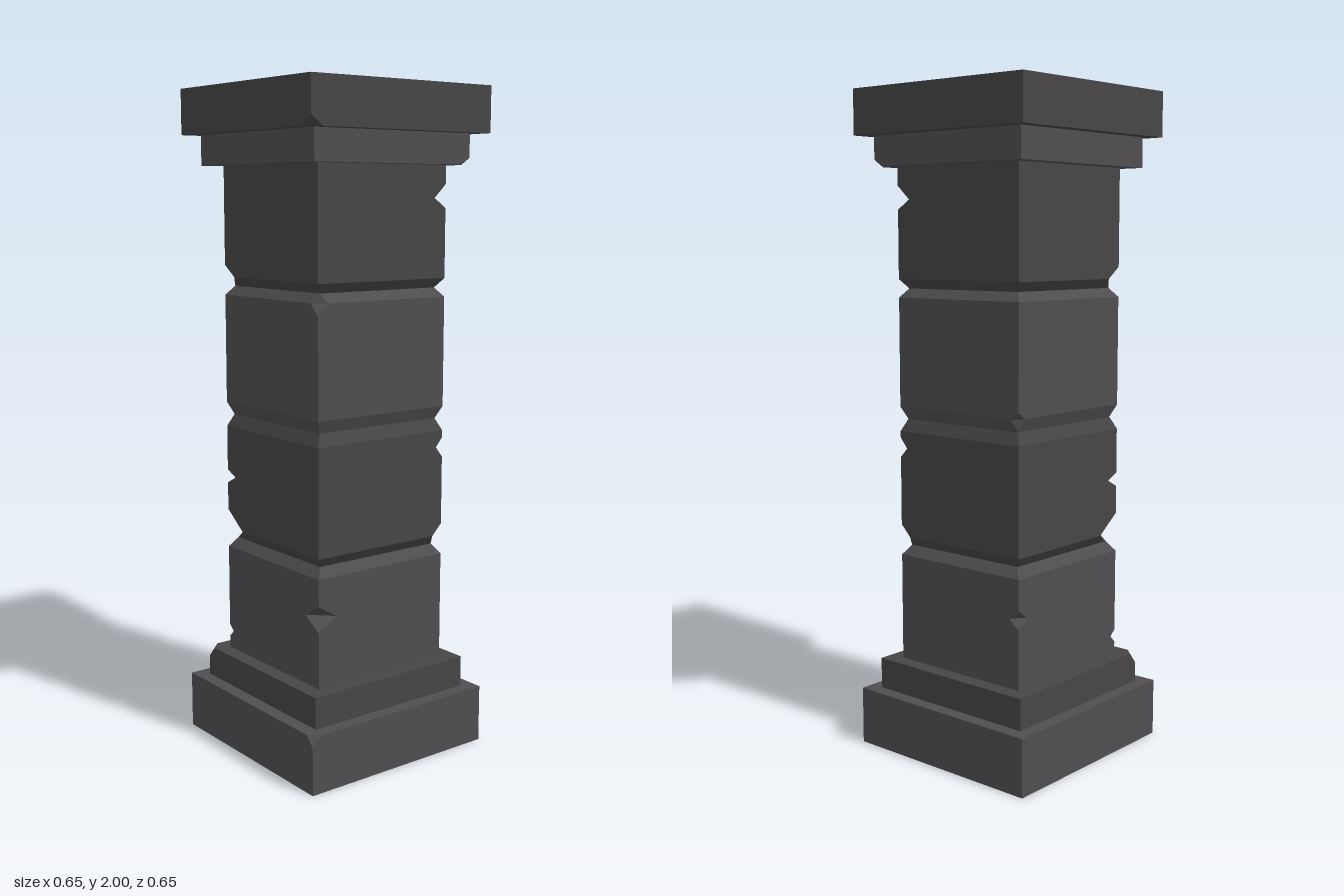
import * as THREE from 'three';

const dark = new THREE.MeshStandardMaterial({ color: 0x474545, flatShading: true });
const light = new THREE.MeshStandardMaterial({ color: 0x4f4d50, flatShading: true });

// Square stone with an outline [[y, halfWidth], ...] from bottom to top.
// chips: [corner, y, depth, heightAbove, heightBelow];
// corners run 0 (+x+z), 1 (+x-z), 2 (-x-z), 3 (-x+z).
function stone(name, material, outline, chips = []) {
  const bottom = outline[0][0], top = outline[outline.length - 1][0];
  const levels = outline.map(p => p[0]);
  chips.forEach(([, y, , up, down]) => levels.push(y - down, y, y + up));
  const ys = [...new Set(levels.map(y => +y.toFixed(4)))]
    .filter(y => y >= bottom && y <= top).sort((a, b) => a - b);

  const widthAt = y => {
    for (let i = 1; i < outline.length; i++) {
      const [y0, w0] = outline[i - 1], [y1, w1] = outline[i];
      if (y <= y1) return THREE.MathUtils.mapLinear(y, y0, y1, w0, w1);
    }
    return outline[outline.length - 1][1];
  };
  const cutAt = (corner, y) => {
    let cut = 0;
    for (const [k, cy, depth, up, down] of chips) {
      if (k !== corner) continue;
      const reach = y >= cy ? up : down;
      cut = Math.max(cut, depth * (1 - Math.abs(y - cy) / reach));
    }
    return cut < 1e-3 ? 0 : cut;
  };

  // Each ring has two points per corner, which meet where there is no chip
  const rings = ys.map(y => {
    const w = widthAt(y), ring = [];
    for (let k = 0; k < 4; k++) {
      const c = cutAt(k, y);
      for (let [x, z] of [[w - c, w], [w, w - c]]) {
        for (let r = 0; r < k; r++) [x, z] = [z, -x];
        ring.push(new THREE.Vector3(x, y, z));
      }
    }
    return ring;
  });

  const positions = [];
  const tri = (a, b, c) => {
    if (new THREE.Triangle(a, b, c).getArea() < 1e-8) return;
    positions.push(...a.toArray(), ...b.toArray(), ...c.toArray());
  };
  for (let i = 1; i < rings.length; i++) {
    const lo = rings[i - 1], hi = rings[i];
    for (let j = 0; j < 8; j++) {
      const n = (j + 1) % 8;
      tri(lo[j], lo[n], hi[n]);
      tri(lo[j], hi[n], hi[j]);
    }
  }
  const first = rings[0], last = rings[rings.length - 1];
  for (let j = 1; j < 7; j++) {
    tri(first[0], first[j + 1], first[j]);
    tri(last[0], last[j], last[j + 1]);
  }

  const geometry = new THREE.BufferGeometry();
  geometry.setAttribute('position', new THREE.Float32BufferAttribute(positions, 3));
  geometry.computeVertexNormals();
  const mesh = new THREE.Mesh(geometry, material);
  mesh.name = name;
  return mesh;
}

export function createModel() {
  const pillar = new THREE.Group();
  pillar.name = 'stonePillar';
  const W = 0.235, G = 0.213; // shaft and groove half widths

  pillar.add(
    // Base
    stone('basePlinth', light, [[0, 0.325], [0.175, 0.325]],
      [[0, 0.175, 0.03, 0.03, 0.03]]),
    stone('baseStep', dark, [[0.175, 0.283], [0.27, 0.283]],
      [[3, 0.27, 0.03, 0.03, 0.035]]),
    // Shaft blocks, bevelled where they meet
    stone('shaftBlock1', light, [[0.27, W], [0.6, W], [0.63, G]],
      [[0, 0.48, 0.065, 0.04, 0.04], [2, 0.48, 0.035, 0.03, 0.03], [3, 0.325, 0.022, 0.02, 0.02]]),
    stone('shaftBlock2', dark, [[0.63, G], [0.66, W], [0.985, W], [1.022, G + 0.005]],
      [[1, 0.66, 0.035, 0.035, 0.03], [1, 0.93, 0.03, 0.035, 0.025],
        [3, 0.66, 0.08, 0.06, 0.03], [3, 0.825, 0.048, 0.022, 0.02]]),
    stone('shaftBlock3', light, [[1.022, G + 0.005], [1.06, W], [1.39, W], [1.417, G]],
      [[0, 1.39, 0.035, 0.027, 0.035], [2, 1.06, 0.03, 0.02, 0.038]]),
    stone('shaftBlock4', dark, [[1.417, G], [1.445, W], [1.775, W]],
      [[1, 1.68, 0.048, 0.04, 0.03], [3, 1.445, 0.05, 0.035, 0.028]]),
    // Capital
    stone('capitalStep', light, [[1.775, 0.283], [1.865, 0.283]],
      [[1, 1.775, 0.035, 0.02, 0.02]]),
    stone('capitalSlab', dark, [[1.865, 0.325], [2, 0.325]],
      [[0, 1.865, 0.04, 0.03, 0.03]])
  );
  return pillar;
}
